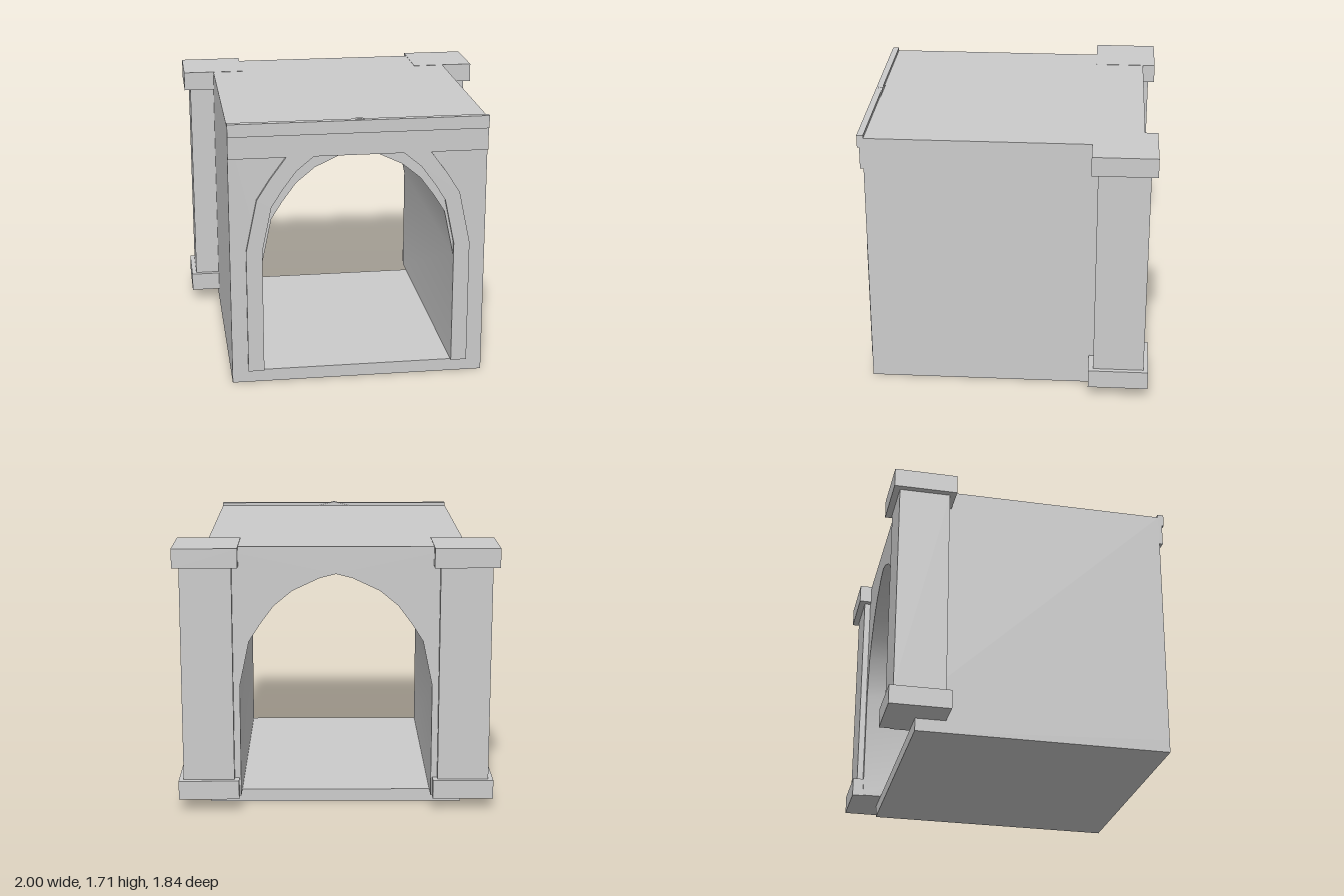
import * as THREE from 'three';
import { toCreasedNormals } from 'three/addons/utils/BufferGeometryUtils.js';

// Half arch above the springing line: [x, rise], from the side to the crown
const HALF_ARCH = [[0.6, 0], [0.54, 0.285], [0.47, 0.395], [0.385, 0.51], [0.27, 0.605], [0.1, 0.685], [0, 0.71]];
const FLOOR = 0.08;

// Full arch outline, from right foot over the crown to left foot
function archPoints(scale, springY) {
  const half = HALF_ARCH.map(([x, r]) => [x * scale, springY + r * scale]);
  const other = half.slice(0, -1).reverse().map(([x, y]) => [-x, y]);
  const w = HALF_ARCH[0][0] * scale;
  return [[w, FLOOR], ...half, ...other, [-w, FLOOR]].map(([x, y]) => new THREE.Vector2(x, y));
}

export function createModel() {
  const group = new THREE.Group();
  const material = new THREE.MeshStandardMaterial({ color: 0xcccccc });

  function add(name, geometry, parent = group) {
    const mesh = new THREE.Mesh(geometry, material);
    mesh.name = name;
    parent.add(mesh);
    return mesh;
  }

  // Box given by its limits on each axis
  function box(name, [x0, x1], [y0, y1], [z0, z1], parent) {
    const mesh = add(name, new THREE.BoxGeometry(x1 - x0, y1 - y0, z1 - z0), parent);
    mesh.position.set((x0 + x1) / 2, (y0 + y1) / 2, (z0 + z1) / 2);
  }

  function extrude(name, points, z0, z1) {
    const geometry = new THREE.ExtrudeGeometry(new THREE.Shape(points), { depth: z1 - z0, bevelEnabled: false });
    geometry.translate(0, 0, z0);
    add(name, toCreasedNormals(geometry, 0.55));
  }

  // Floor slab, set back from the rear wall
  box('floorSlab', [-0.8, 0.8], [0, FLOOR], [-0.72, 0.88]);

  // Block with the vaulted passage through it
  const corners = [[-0.8, FLOOR], [-0.8, 1.68], [0.8, 1.68], [0.8, FLOOR]].map(([x, y]) => new THREE.Vector2(x, y));
  extrude('vaultedBlock', [...corners, ...archPoints(1, 0.8)], -0.84, 0.88);

  // Raised band around the front opening
  extrude('archTrim', [...archPoints(7 / 6, 0.88), ...archPoints(1, 0.88).reverse()], 0.87, 0.9);

  // Lintel and cornice on the front
  box('lintel', [-0.8, 0.8], [1.48, 1.62], [0.87, 0.902]);
  box('cornice', [-0.8, 0.8], [1.62, 1.7], [0.875, 0.915]);

  // Rear corner pillars
  for (const side of [-1, 1]) {
    const pillar = new THREE.Group();
    pillar.name = side > 0 ? 'leftPillar' : 'rightPillar';
    const span = (a, b) => (side > 0 ? [a, b] : [-b, -a]);
    box('pillarBase', span(0.61, 0.99), [0.08, 0.2], [-0.91, -0.53], pillar);
    box('pillarShaft', span(0.64, 0.96), [0.2, 1.56], [-0.88, -0.56], pillar);
    box('pillarCap', span(0.6, 1), [1.56, 1.682], [-0.92, -0.52], pillar);
    group.add(pillar);
  }

  return group;
}
